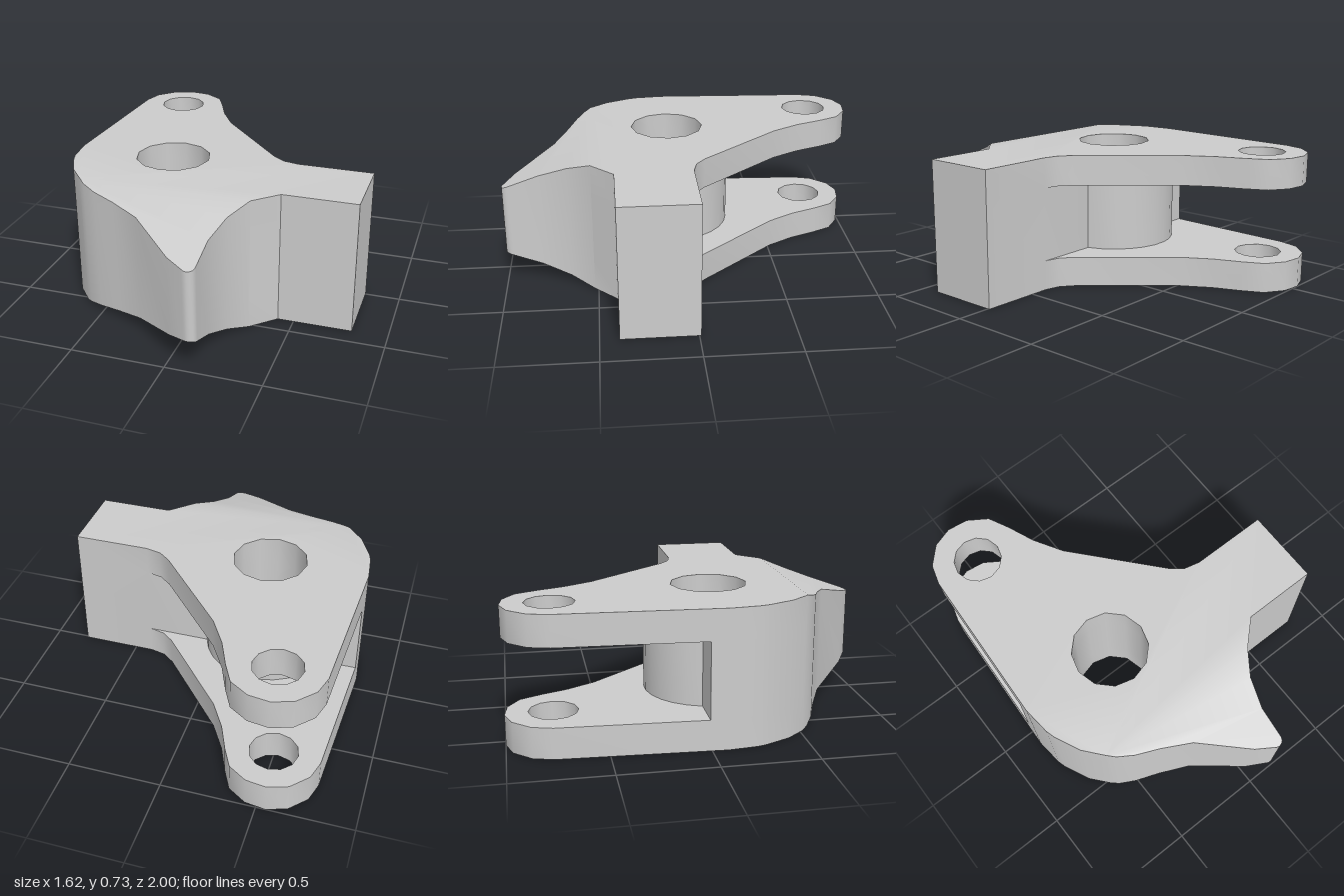
import * as THREE from 'three';
import { mergeGeometries, toCreasedNormals } from 'three/addons/utils/BufferGeometryUtils.js';

const HEIGHT = 0.725, LUG = 0.1625;      // total height, thickness of each fork lug
const BEND = 0.52, DROP = 0.1725;        // where the nose taper starts, taper at its tip
const BORE = [-0.276, 0.085], PIN = [-0.526, -0.757];

// Plan outlines as [x, z]
const BLOCK = [[0.40, -0.01], [0.812, -0.01], [0.812, 0.40], [0.415, 0.40], [0.29, BEND]];
const NOSE = [[0.29, BEND], [0.21, 0.645], [0.165, 0.80], [0.16, 0.955], [0.159, 0.972], [0.152, 0.987],
  [0.14, 0.996], [0.125, 1], [0.11, 0.997], [0.095, 0.988], [0.005, 0.935], [-0.235, 0.725],
  [-0.39, 0.65], [-0.515, 0.60], [-0.595, 0.553], [-0.63, BEND]];
const SIDE = [[-0.63, BEND], [-0.715, 0.42], [-0.78, 0.283], [-0.794, 0.235], [-0.81, 0.085], [-0.806, -0.01]];
const FORK = [[-0.77, -0.77], [-0.74, -0.875], [-0.655, -0.965], [-0.55, -1], [-0.44, -0.985], [-0.34, -0.92],
  [-0.285, -0.81], [-0.225, -0.665], [-0.135, -0.515], [0.25, -0.08], [0.315, -0.03]];

// Points on an arc around a plan centre
function arc([cx, cz], r, start, end, n) {
  return Array.from({ length: n }, (_, i) => {
    const a = start + (end - start) * i / (n - 1);
    return [cx + r * Math.cos(a), cz + r * Math.sin(a)];
  });
}

// Holes run against the outlines so their walls face inward
const hole = (centre, r) => arc(centre, r, Math.PI * 2, 0, 13).slice(0, 12);
const toPoints = (list) => list.map(([x, z]) => new THREE.Vector2(x, -z));

// Upright slab with a plan outline and through holes
function slab(outline, holes, y, height) {
  const shape = new THREE.Shape(toPoints(outline));
  shape.holes = holes.map((h) => new THREE.Path(toPoints(h)));
  const geo = new THREE.ExtrudeGeometry(shape, { depth: height, bevelEnabled: false, steps: 1 });
  return geo.rotateX(-Math.PI / 2).translate(0, y, 0);
}

export function createModel() {
  const group = new THREE.Group();
  group.name = 'forkBracket';
  const metal = new THREE.MeshStandardMaterial({ color: 0xcccccc });
  metal.name = 'plain grey metal';

  const bore = hole(BORE, 0.202), pin = hole(PIN, 0.127);

  // Upper and lower fork lugs
  const lugOutline = [...BLOCK, ...SIDE, ...FORK];
  const parts = [0, HEIGHT - LUG].map((y) => slab(lugOutline, [bore, pin], y, LUG));

  // Core between the lugs, with a round boss standing into the slot
  const bossR = 0.346, dip = Math.asin(0.095 / bossR);
  const boss = arc(BORE, bossR, Math.PI + dip, 2 * Math.PI - dip, 12);
  parts.push(slab([...BLOCK, ...SIDE, ...boss], [bore], LUG, HEIGHT - 2 * LUG));

  // Nose, tapering above and below towards its tip
  const nose = slab(NOSE, [], 0, HEIGHT);
  const p = nose.attributes.position;
  for (let i = 0; i < p.count; i++) {
    const drop = DROP * (p.getZ(i) - BEND) / (1 - BEND);
    p.setY(i, p.getY(i) > HEIGHT / 2 ? HEIGHT - drop : drop);
  }
  parts.push(nose);

  // Joined so the shading runs smoothly across the parts
  const body = new THREE.Mesh(toCreasedNormals(mergeGeometries(parts, false), 0.56), metal);
  body.name = 'bracketBody';
  group.add(body);
  return group;
}
